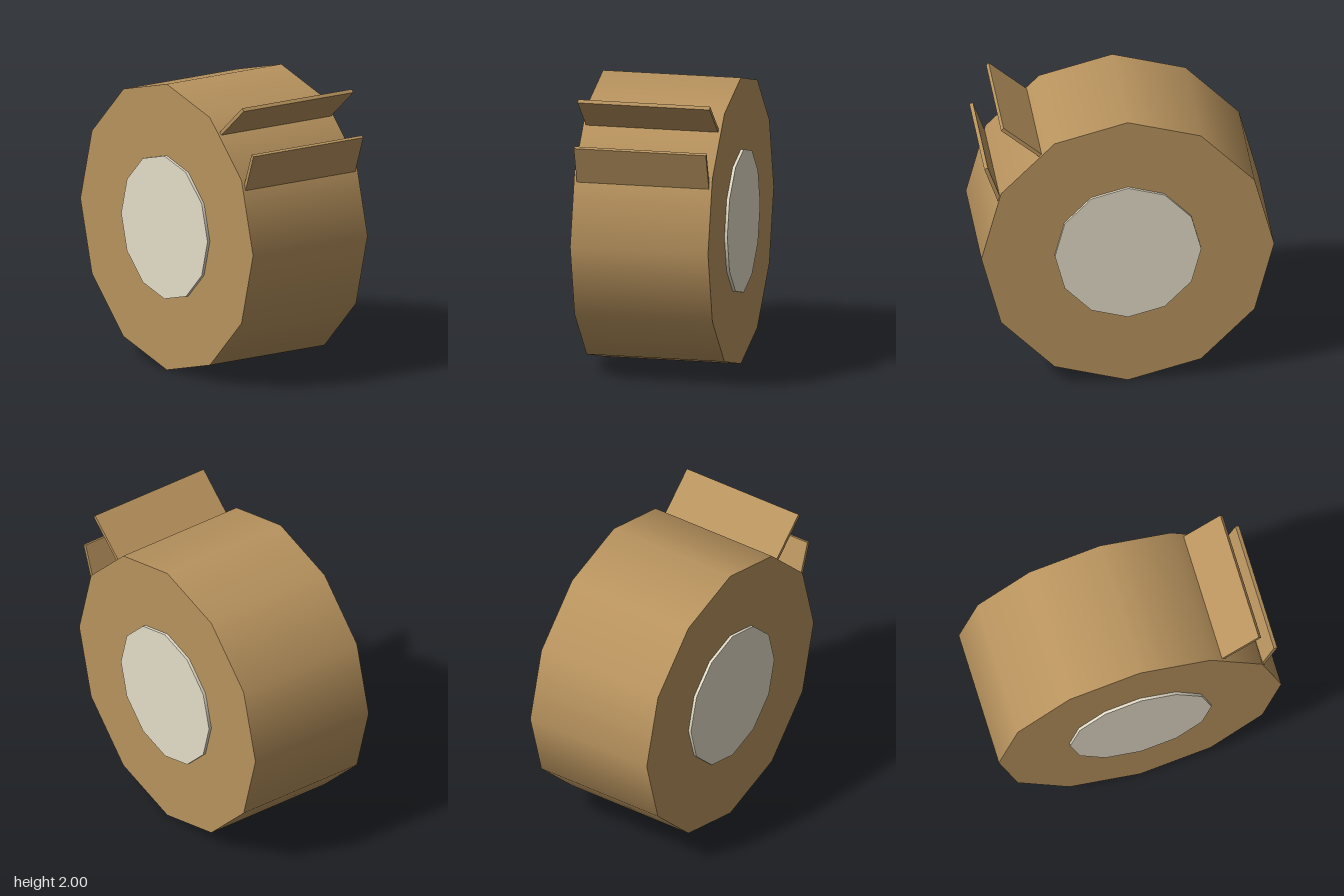
import * as THREE from 'three';

export function createModel() {
  const group = new THREE.Group();
  const tan = new THREE.MeshStandardMaterial({ color: 0xb8935e });
  const cream = new THREE.MeshStandardMaterial({ color: 0xe3dcc8 });

  // Twelve-sided drum lying along the x axis
  const drum = (name, radius, width, material) => {
    const geometry = new THREE.CylinderGeometry(radius, radius, width, 12).rotateZ(Math.PI / 2);
    const mesh = new THREE.Mesh(geometry, material);
    mesh.name = name;
    mesh.position.y = 1;
    group.add(mesh);
  };
  drum('roll', 1, 0.96, tan);
  drum('core', 0.5, 1, cream);

  // Thin flap running from inside the roll up to its tip (y, z), tilted by degrees
  const flap = (name, y, z, degrees) => {
    const length = 0.4;
    const geometry = new THREE.BoxGeometry(0.92, 0.026, length).translate(0, 0, -length / 2);
    const mesh = new THREE.Mesh(geometry, tan);
    mesh.name = name;
    mesh.position.set(0, y, z);
    mesh.rotation.x = -THREE.MathUtils.degToRad(degrees);
    group.add(mesh);
  };
  flap('upperFlap', 1.988, 0.855, 40);
  flap('lowerFlap', 1.69, 0.966, 70);

  return group;
}
